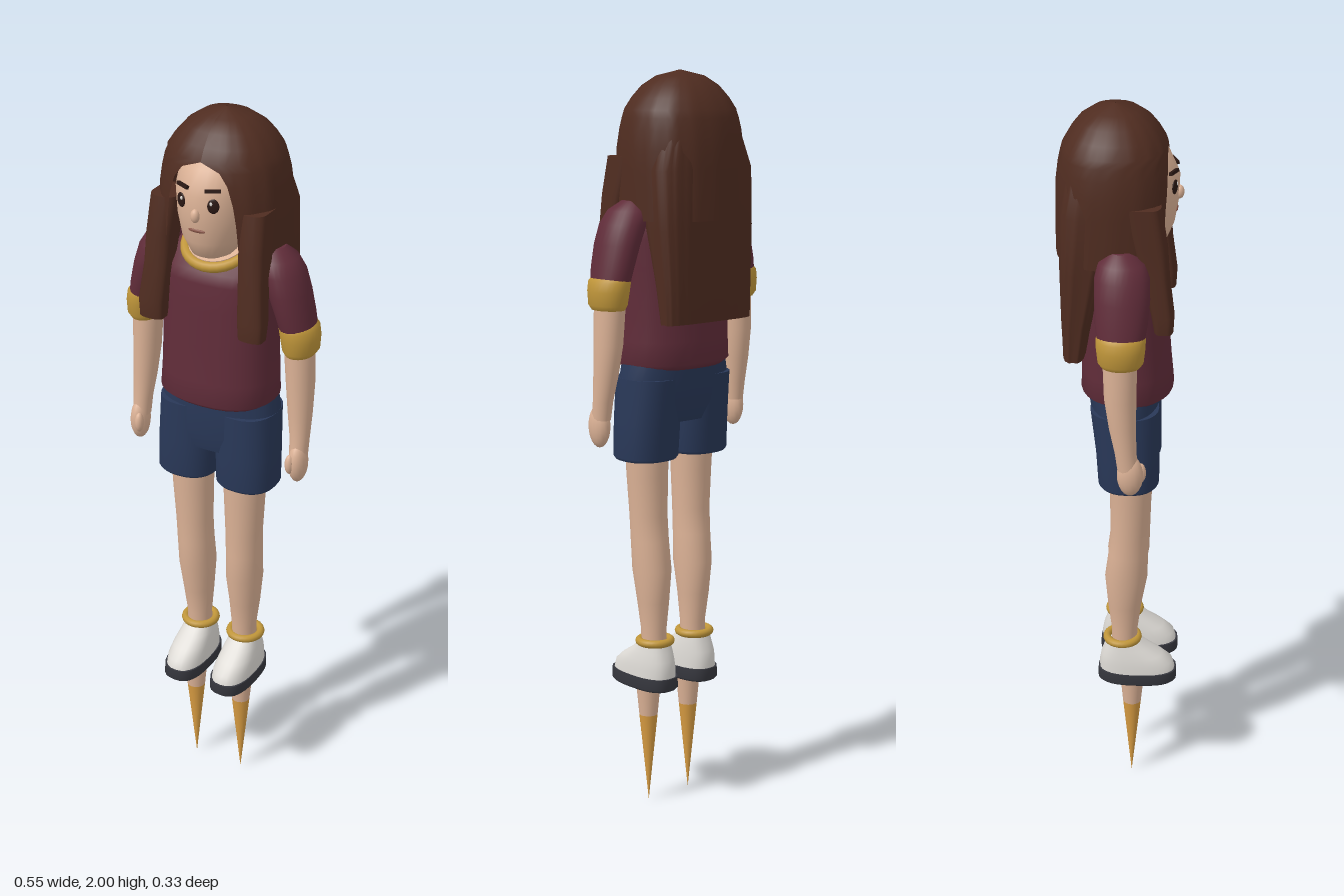
import * as THREE from 'three';

const mat = (name, color, double) => {
  const m = new THREE.MeshStandardMaterial({ color });
  m.name = name;
  if (double) m.side = THREE.DoubleSide;
  return m;
};

// Smooth skin through elliptical sections [y, cx, cz, rx, rz], listed bottom to top.
// power < 1 squares the sections, ripple adds vertical strands, open(y) leaves a gap at the front.
function loft(sections, { segs = 28, power = 1, ripple = 0, waves = 14, gaps = null } = {}) {
  const pos = [], idx = [], sp = (v) => Math.sign(v) * Math.abs(v) ** power;
  const w = gaps ? segs + 1 : segs;
  const ring = ([y, cx, cz, rx, rz], gap) => {
    for (let j = 0; j < w; j++) {
      const t = gap + (j / segs) * (Math.PI * 2 - 2 * gap);
      const k = 1 + ripple * Math.cos(t * waves);
      pos.push(cx + rx * k * sp(Math.sin(t)), y, cz + rz * k * sp(Math.cos(t)));
    }
  };
  sections.forEach((s, i) => ring(s, gaps ? gaps[i] : 0));
  for (let i = 0; i < sections.length - 1; i++) {
    for (let j = 0; j < segs; j++) {
      const a = i * w + j, b = i * w + ((j + 1) % w), c = b + w, d = a + w;
      idx.push(a, b, c, a, c, d);
    }
  }
  const cap = (s, top) => {
    const start = pos.length / 3;
    ring(s, 0);
    pos.push(s[1], s[0], s[2]);
    for (let j = 0; j < segs; j++) {
      const a = start + j, b = start + ((j + 1) % segs), m = start + w;
      if (top) idx.push(a, b, m); else idx.push(b, a, m);
    }
  };
  if (!gaps) { cap(sections[0], false); cap(sections[sections.length - 1], true); }
  const g = new THREE.BufferGeometry();
  g.setAttribute('position', new THREE.Float32BufferAttribute(pos, 3));
  g.setIndex(idx);
  g.computeVertexNormals();
  return g;
}

export function createModel() {
  const root = new THREE.Group();
  const skin = mat('skin', 0xdcb296), hair = mat('hair brown', 0x4f2c20, true);
  const shirt = mat('maroon', 0x602c39), shorts = mat('navy', 0x293858);
  const gold = mat('gold trim', 0xc0963a), white = mat('shoe white', 0xdcd9d4);
  const sole = mat('sole grey', 0x37383f), amber = mat('amber', 0xd89c42);
  const dark = mat('feature dark', 0x2a1814), lip = mat('lip', 0x8a5648);

  const add = (name, geo, material, x = 0, y = 0, z = 0) => {
    const m = new THREE.Mesh(geo, material);
    m.name = name;
    m.position.set(x, y, z);
    root.add(m);
    return m;
  };
  const ball = (name, material, x, y, z, sx, sy, sz) => {
    const m = add(name, new THREE.SphereGeometry(1, 16, 12), material, x, y, z);
    m.scale.set(sx, sy, sz);
    return m;
  };

  // Torso, neckline and hips
  add('shirt', loft([
    [1.225, 0, 0.018, 0.14, 0.105], [1.24, 0, 0.018, 0.16, 0.122], [1.3, 0, 0.016, 0.157, 0.118],
    [1.4, 0, 0.014, 0.155, 0.112], [1.5, 0, 0.012, 0.158, 0.108], [1.57, 0, 0.01, 0.162, 0.104],
    [1.6, 0, 0.008, 0.162, 0.098], [1.635, 0, -0.002, 0.155, 0.075], [1.665, 0, -0.018, 0.12, 0.045],
  ], { power: 0.85 }), shirt);
  add('neck', new THREE.CylinderGeometry(0.05, 0.055, 0.14, 20), skin, 0, 1.63, 0.01);
  add('neckline', new THREE.CylinderGeometry(0.08, 0.088, 0.035, 24), skin, 0, 1.65, 0.02).rotation.x = 0.45;
  add('collar', new THREE.TorusGeometry(0.09, 0.014, 10, 32), gold, 0, 1.655, 0.02).rotation.x = Math.PI / 2 + 0.45;
  add('shortsHips', loft([
    [1.08, 0, 0.02, 0.15, 0.075], [1.13, 0, 0.017, 0.168, 0.088], [1.2, 0, 0.012, 0.166, 0.093],
    [1.27, 0, 0.01, 0.15, 0.095],
  ], { power: 0.85 }), shorts);

  // Head
  add('head', loft([
    [1.635, 0, 0.06, 0.03, 0.032], [1.648, 0, 0.052, 0.055, 0.065], [1.69, 0, 0.032, 0.085, 0.103],
    [1.75, 0, 0.022, 0.1, 0.123], [1.82, 0, 0.018, 0.105, 0.13], [1.88, 0, 0.008, 0.098, 0.113],
    [1.93, 0, 0, 0.065, 0.07],
  ]), skin);
  ball('nose', skin, 0, 1.77, 0.147, 0.012, 0.018, 0.012);
  ball('mouth', lip, 0, 1.728, 0.14, 0.024, 0.005, 0.004);

  // Hair: cap with a face opening, back fall and front locks
  const capRows = [
    [1.62, 0.168, 0.64], [1.7, 0.168, 0.6], [1.75, 0.167, 0.57], [1.8, 0.166, 0.52], [1.85, 0.159, 0.43],
    [1.88, 0.152, 0.3], [1.9, 0.146, 0], [1.93, 0.127, 0], [1.96, 0.101, 0], [1.985, 0.063, 0], [2, 0.002, 0],
  ];
  add('hairCap', loft(capRows.map(([y, r]) => [y, 0, -0.014, r, r * 0.9]),
    { segs: 48, power: 0.88, ripple: 0.008, waves: 16, gaps: capRows.map((r) => r[2]) }), hair);
  add('hairBack', loft([
    [1.355, 0, -0.116, 0.146, 0.03], [1.45, 0, -0.108, 0.15, 0.042], [1.6, 0, -0.09, 0.157, 0.063],
    [1.75, 0, -0.07, 0.158, 0.084], [1.84, 0, -0.06, 0.13, 0.08],
  ], { segs: 56, power: 0.55, ripple: 0.015, waves: 18 }), hair);

  for (const s of [1, -1]) {
    const side = s > 0 ? 'left' : 'right';
    const part = (name, rows, material, opt) =>
      add(side + name, loft(rows.map(([y, cx, ...r]) => [y, cx * s, ...r]), opt), material);

    part('HairLock', [
      [1.453, 0.143, 0.115, 0.034, 0.024], [1.5, 0.143, 0.112, 0.037, 0.029], [1.6, 0.135, 0.094, 0.035, 0.034],
      [1.68, 0.132, 0.078, 0.036, 0.044], [1.78, 0.125, 0.055, 0.038, 0.05],
    ], hair, { power: 0.65, ripple: 0.02, waves: 6 });

    // Face details
    ball(side + 'Eye', dark, s * 0.045, 1.8, 0.136, 0.015, 0.019, 0.004).rotation.y = s * 0.4;
    ball(side + 'EyeGlint', white, s * 0.041, 1.807, 0.141, 0.004, 0.005, 0.002);
    const brow = add(side + 'Eyebrow', new THREE.BoxGeometry(0.04, 0.008, 0.009), dark, s * 0.042, 1.838, 0.133);
    brow.rotation.set(-0.2, s * 0.4, s * 0.12);

    // Arm
    part('Sleeve', [
      [1.46, 0.221, 0.01, 0.046, 0.06], [1.5, 0.212, 0.011, 0.048, 0.066], [1.56, 0.195, 0.012, 0.052, 0.07],
      [1.61, 0.176, 0.011, 0.056, 0.069], [1.645, 0.158, 0.009, 0.053, 0.058], [1.67, 0.142, 0.005, 0.034, 0.03],
    ], shirt);
    part('Cuff', [
      [1.392, 0.228, 0.01, 0.038, 0.05], [1.405, 0.229, 0.01, 0.046, 0.058], [1.44, 0.227, 0.01, 0.05, 0.062],
      [1.465, 0.223, 0.01, 0.05, 0.063], [1.475, 0.22, 0.01, 0.044, 0.058],
    ], gold);
    part('Arm', [
      [1.1, 0.238, 0.03, 0.024, 0.028], [1.15, 0.237, 0.023, 0.026, 0.028], [1.22, 0.233, 0.015, 0.032, 0.035],
      [1.3, 0.229, 0.009, 0.037, 0.041], [1.41, 0.224, 0.008, 0.04, 0.044],
    ], skin);
    ball(side + 'Hand', skin, s * 0.24, 1.083, 0.035, 0.025, 0.058, 0.034);
    ball(side + 'Thumb', skin, s * 0.228, 1.085, 0.062, 0.012, 0.028, 0.014);

    // Leg
    part('ShortsLeg', [
      [0.978, 0.088, 0.025, 0.078, 0.075], [0.986, 0.088, 0.025, 0.084, 0.081], [1.08, 0.086, 0.022, 0.085, 0.084],
      [1.2, 0.083, 0.014, 0.083, 0.09],
    ], shorts, { power: 0.85 });
    part('Leg', [
      [0.4, 0.071, 0.012, 0.034, 0.035], [0.5, 0.071, 0.014, 0.034, 0.036], [0.58, 0.073, 0.014, 0.042, 0.046],
      [0.67, 0.074, 0.018, 0.05, 0.058], [0.75, 0.076, 0.024, 0.05, 0.054], [0.82, 0.077, 0.028, 0.051, 0.052],
      [0.93, 0.079, 0.03, 0.056, 0.056], [1.02, 0.08, 0.03, 0.06, 0.06],
    ], skin);
    const band = add(side + 'AnkleBand', new THREE.TorusGeometry(0.043, 0.011, 10, 28), gold, s * 0.072, 0.468, 0.008);
    band.rotation.x = Math.PI / 2;

    // Shoe
    part('ShoeSole', [
      [0.335, 0.073, 0.05, 0.052, 0.103], [0.342, 0.073, 0.05, 0.058, 0.11], [0.372, 0.073, 0.05, 0.057, 0.109],
    ], sole, { power: 0.75 });
    part('ShoeUpper', [
      [0.37, 0.073, 0.05, 0.055, 0.105], [0.395, 0.073, 0.046, 0.053, 0.101], [0.418, 0.073, 0.034, 0.049, 0.085],
      [0.44, 0.072, 0.02, 0.044, 0.063], [0.462, 0.072, 0.01, 0.038, 0.046],
    ], white, { power: 0.82 });

    // Spike under the foot
    add(side + 'SpikeBase', new THREE.CylinderGeometry(0.034, 0.0255, 0.09, 20), skin, s * 0.073, 0.295, 0.035);
    add(side + 'SpikeTip', new THREE.ConeGeometry(0.0255, 0.25, 20), amber, s * 0.073, 0.125, 0.035).rotation.x = Math.PI;
  }
  return root;
}
